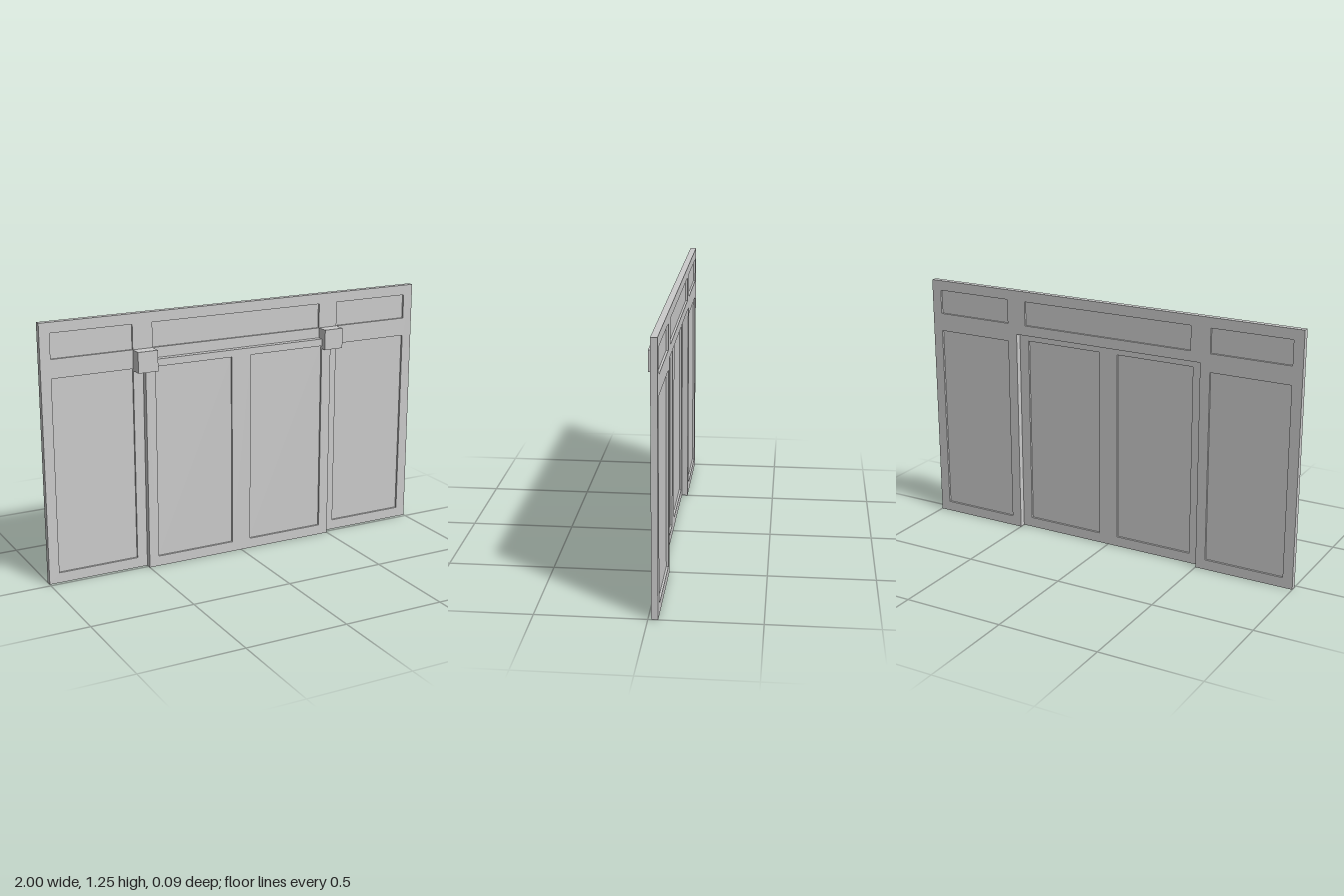
import * as THREE from 'three';

const material = new THREE.MeshStandardMaterial({ color: 0xcccccc, flatShading: true });
const THICK = 0.03; // thickness of wall and door
const PANEL = 0.01; // thickness of the recessed panels

function add(parent, name, geometry, x = 0, y = 0, z = 0) {
  const mesh = new THREE.Mesh(geometry, material);
  mesh.name = name;
  mesh.position.set(x, y, z);
  parent.add(mesh);
}

// Framework cut from an outline, with a thin panel set into each opening [x0, x1, y0, y1]
function panelled(name, outline, openings, z) {
  const group = new THREE.Group();
  group.name = name;
  const shape = new THREE.Shape(outline.map(([x, y]) => new THREE.Vector2(x, y)));
  for (const [x0, x1, y0, y1] of openings) {
    const hole = new THREE.Path();
    hole.moveTo(x0, y0).lineTo(x0, y1).lineTo(x1, y1).lineTo(x1, y0).closePath();
    shape.holes.push(hole);
    add(group, name + 'Panel', new THREE.BoxGeometry(x1 - x0, y1 - y0, PANEL),
      (x0 + x1) / 2, (y0 + y1) / 2, 0);
  }
  const frame = new THREE.ExtrudeGeometry(shape, { depth: THICK, bevelEnabled: false });
  add(group, name + 'Frame', frame, 0, 0, -THICK / 2);
  group.position.z = z;
  return group;
}

export function createModel() {
  const model = new THREE.Group();
  model.name = 'panelledWallWithDoor';

  // Wall with a doorway, side panels and a row of upper panels
  model.add(panelled('wall',
    [[-1, 0], [-0.5, 0], [-0.5, 1.03], [0.5, 1.03], [0.5, 0], [1, 0], [1, 1.25], [-1, 1.25]],
    [
      [-0.95, -0.55, 0.05, 0.99], [0.55, 0.95, 0.05, 0.99],
      [-0.95, -0.55, 1.08, 1.2], [-0.45, 0.45, 1.08, 1.2], [0.55, 0.95, 1.08, 1.2],
    ], -0.03));

  // Two-panel door standing just in front of the doorway
  model.add(panelled('door',
    [[-0.5, 0], [0.5, 0], [0.5, 1.03], [-0.5, 1.03]],
    [[-0.45, -0.05, 0.05, 0.995], [0.05, 0.45, 0.05, 0.995]], 0));

  // Blocks at the upper corners of the door
  for (const side of [-1, 1]) {
    add(model, side > 0 ? 'leftBlock' : 'rightBlock',
      new THREE.BoxGeometry(0.1, 0.1, 0.06), side * 0.5, 1.03, 0.015);
  }
  return model;
}
